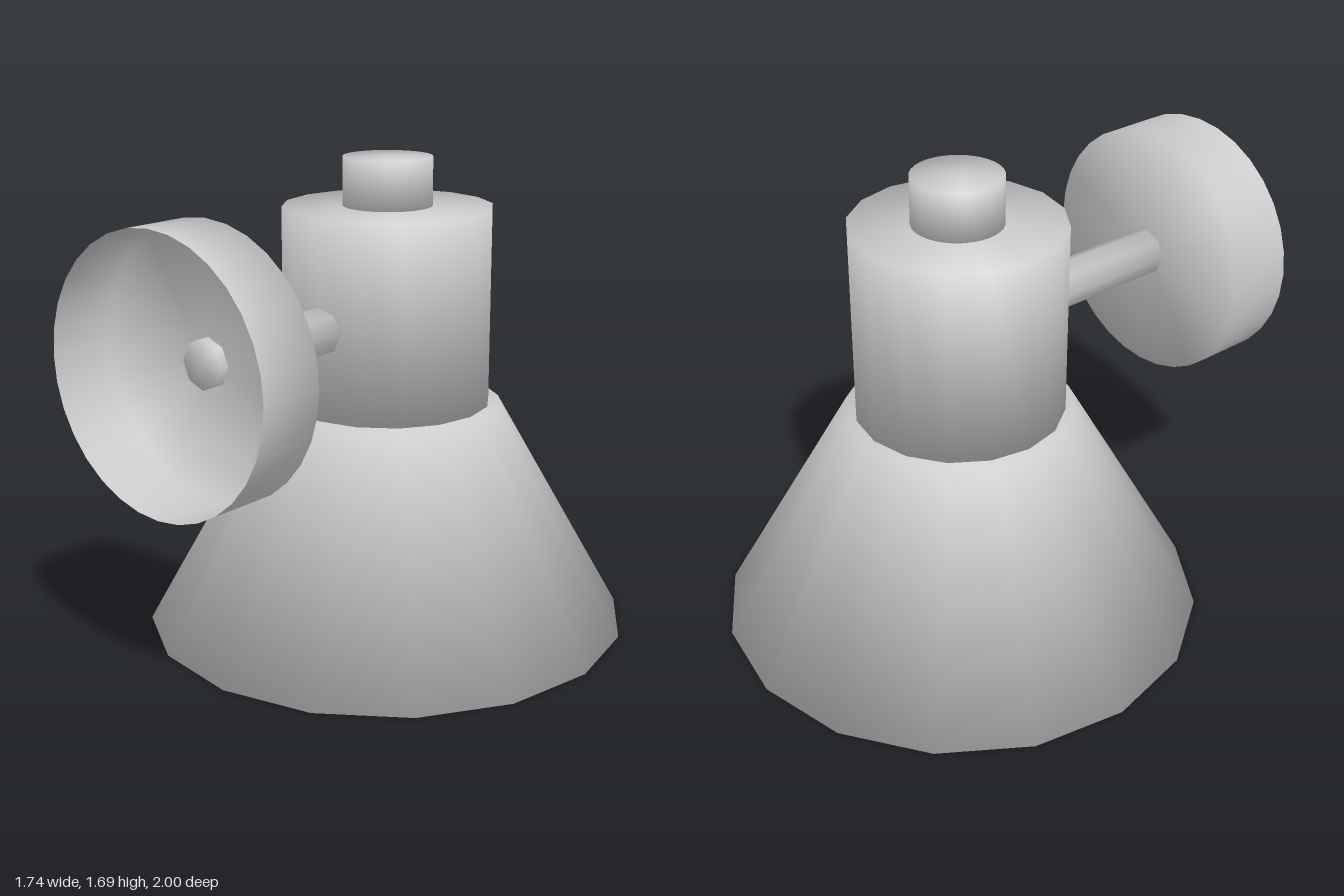
import * as THREE from 'three';

const AXIS_Z = -0.13;  // vertical axis of the body
const ARM_Y = 1.135;   // height of the side arm

// Revolve a profile of [radius, height] pairs; normals blend evenly across every edge.
function revolve(profile, sides) {
  const pts = profile.map(([r, h]) => new THREE.Vector2(r, h));
  const geo = new THREE.LatheGeometry(pts, sides);
  const segs = pts.slice(1).map((p, i) =>
    new THREE.Vector2(p.y - pts[i].y, pts[i].x - p.x).normalize());
  const normals = pts.map((p, i) => {
    const n = new THREE.Vector2();
    if (i > 0) n.add(segs[i - 1]);
    if (i < segs.length) n.add(segs[i]);
    return n.normalize();
  });
  const attr = geo.attributes.normal;
  for (let i = 0; i < attr.count; i++) {
    const n = normals[i % pts.length];
    const a = (Math.floor(i / pts.length) / sides) * Math.PI * 2;
    attr.setXYZ(i, n.x * Math.sin(a), n.y, n.x * Math.cos(a));
  }
  return geo;
}

// Closed cylinder profile
const drum = (r, from, to) => [[0, from], [r, from], [r, to], [0, to]];

export function createModel() {
  const model = new THREE.Group();
  const grey = new THREE.MeshStandardMaterial({ color: 0xcccccc });
  const greyThin = new THREE.MeshStandardMaterial({ color: 0xcccccc, side: THREE.DoubleSide });

  const add = (name, geo, material = grey) => {
    const mesh = new THREE.Mesh(geo, material);
    mesh.name = name;
    model.add(mesh);
    return mesh;
  };

  // Upright parts: hollow shade, socket housing and top knob
  const upright = {
    shade: [[[0, 0.80], [0.385, 0.80], [0.848, 0], [0.87, 0], [0.405, 0.82], [0, 0.82]], 16],
    housing: [drum(0.37, 0.82, 1.52), 16],
    knob: [drum(0.157, 1.5, 1.69), 32],
  };
  for (const [name, [profile, sides]] of Object.entries(upright)) {
    add(name, revolve(profile, sides)).position.z = AXIS_Z;
  }

  // Horizontal parts: arm pokes slightly through the open wall cup
  add('arm', revolve(drum(0.084, 0.1, 0.79), 8).rotateX(Math.PI / 2)).position.y = ARM_Y;
  const cup = [[0, 0.76], [0.457, 0.76], [0.457, 1]];
  add('wallCup', revolve(cup, 32).rotateX(Math.PI / 2), greyThin).position.y = ARM_Y;

  return model;
}
